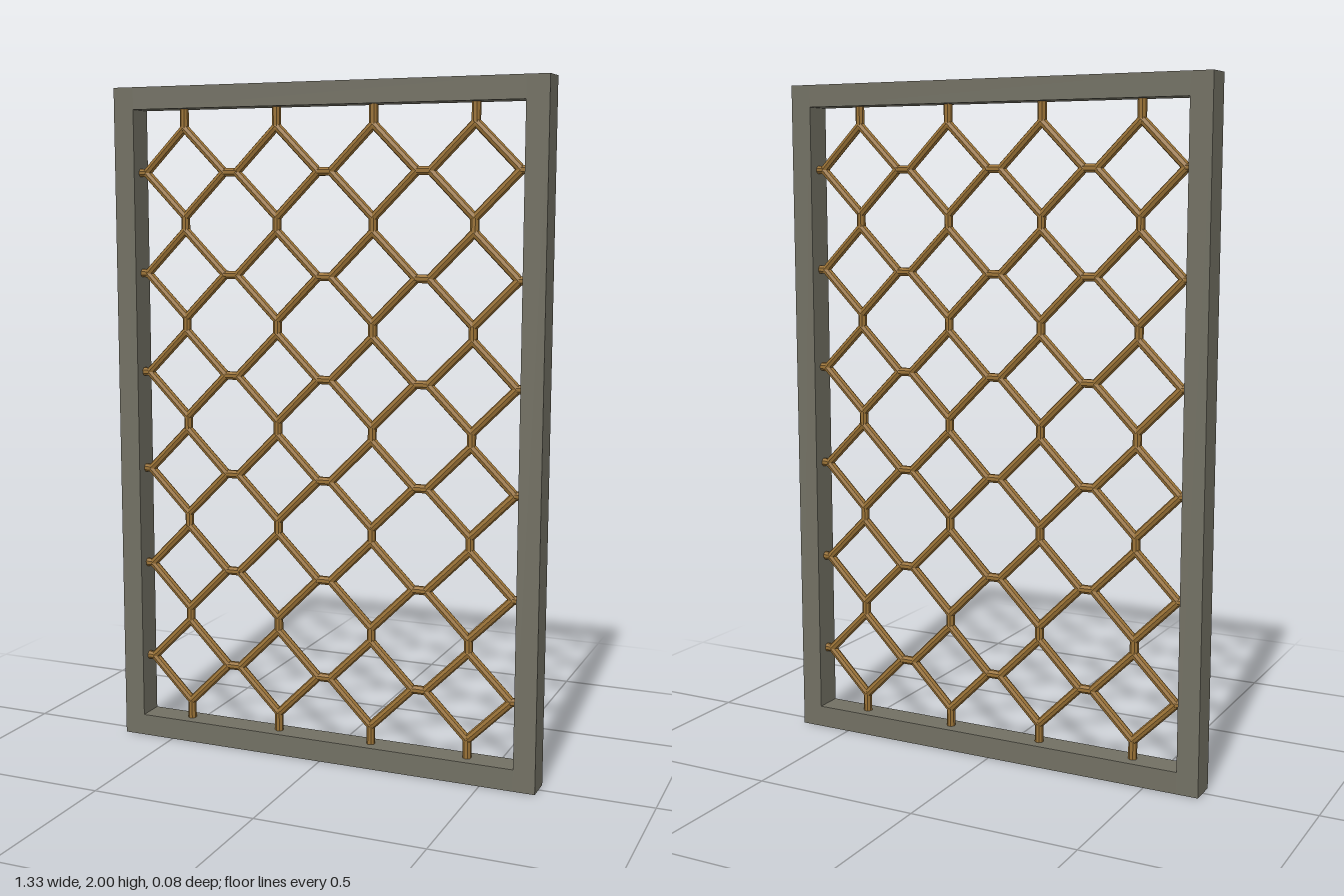
import * as THREE from 'three';

const frameMat = new THREE.MeshStandardMaterial({ color: 0x727063 });
frameMat.name = 'grey frame';
const wireMat = new THREE.MeshStandardMaterial({ color: 0x9a7236, flatShading: true });
wireMat.name = 'bronze lattice';

const HALF_W = 0.665, HEIGHT = 2, BAR = 0.065, DEPTH = 0.083;
const PITCH = 0.3, COLS = 4, ROWS = 6, RADIUS = 0.13, WIRE = 0.013;

export function createModel() {
  const model = new THREE.Group();
  const add = (parent, name, geometry, material, x, y) => {
    const mesh = new THREE.Mesh(geometry, material);
    mesh.name = name;
    mesh.position.set(x, y, 0);
    parent.add(mesh);
    return mesh;
  };

  // Frame: two full-height posts with rails between them
  const inner = HALF_W - BAR;
  const post = new THREE.BoxGeometry(BAR, HEIGHT, DEPTH);
  const rail = new THREE.BoxGeometry(inner * 2, BAR, DEPTH);
  add(model, 'leftPost', post, frameMat, HALF_W - BAR / 2, HEIGHT / 2);
  add(model, 'rightPost', post, frameMat, -HALF_W + BAR / 2, HEIGHT / 2);
  add(model, 'topRail', rail, frameMat, 0, HEIGHT - BAR / 2);
  add(model, 'bottomRail', rail, frameMat, 0, BAR / 2);

  // Lattice diamond: four mitred bars, squeezed in z to an even round section
  const lattice = new THREE.Group();
  lattice.name = 'lattice';
  model.add(lattice);
  const diamond = new THREE.TorusGeometry(RADIUS, WIRE * Math.SQRT2, 8, 4);
  diamond.scale(1, 1, Math.SQRT1_2);

  // Short link bar between two points on one axis
  const link = (name, x, y, length, horizontal) => {
    const geometry = new THREE.CylinderGeometry(WIRE, WIRE, length, 8);
    geometry.rotateY(Math.PI / 8);
    if (horizontal) geometry.rotateZ(Math.PI / 2);
    add(lattice, name, geometry, wireMat, x, y);
  };

  const joint = PITCH - 2 * RADIUS + 0.01;
  const colX = (c) => (c - (COLS - 1) / 2) * PITCH;
  const rowY = (r) => HEIGHT / 2 + (r - (ROWS - 1) / 2) * PITCH;
  for (let c = 0; c < COLS; c++) {
    for (let r = 0; r < ROWS; r++) {
      add(lattice, 'diamond', diamond, wireMat, colX(c), rowY(r));
      if (r > 0) link('verticalLink', colX(c), rowY(r) - PITCH / 2, joint, false);
    }
    // Stubs into the rails
    const stub = rowY(0) - RADIUS - BAR + 0.01;
    link('bottomStub', colX(c), BAR + stub / 2 - 0.002, stub, false);
    link('topStub', colX(c), HEIGHT - BAR - stub / 2 + 0.002, stub, false);
  }
  // Horizontal links; the outermost ones run into the posts
  for (let r = 0; r < ROWS; r++) {
    for (let c = 0; c <= COLS; c++) {
      link('horizontalLink', colX(c) - PITCH / 2, rowY(r), joint, true);
    }
  }
  return model;
}
